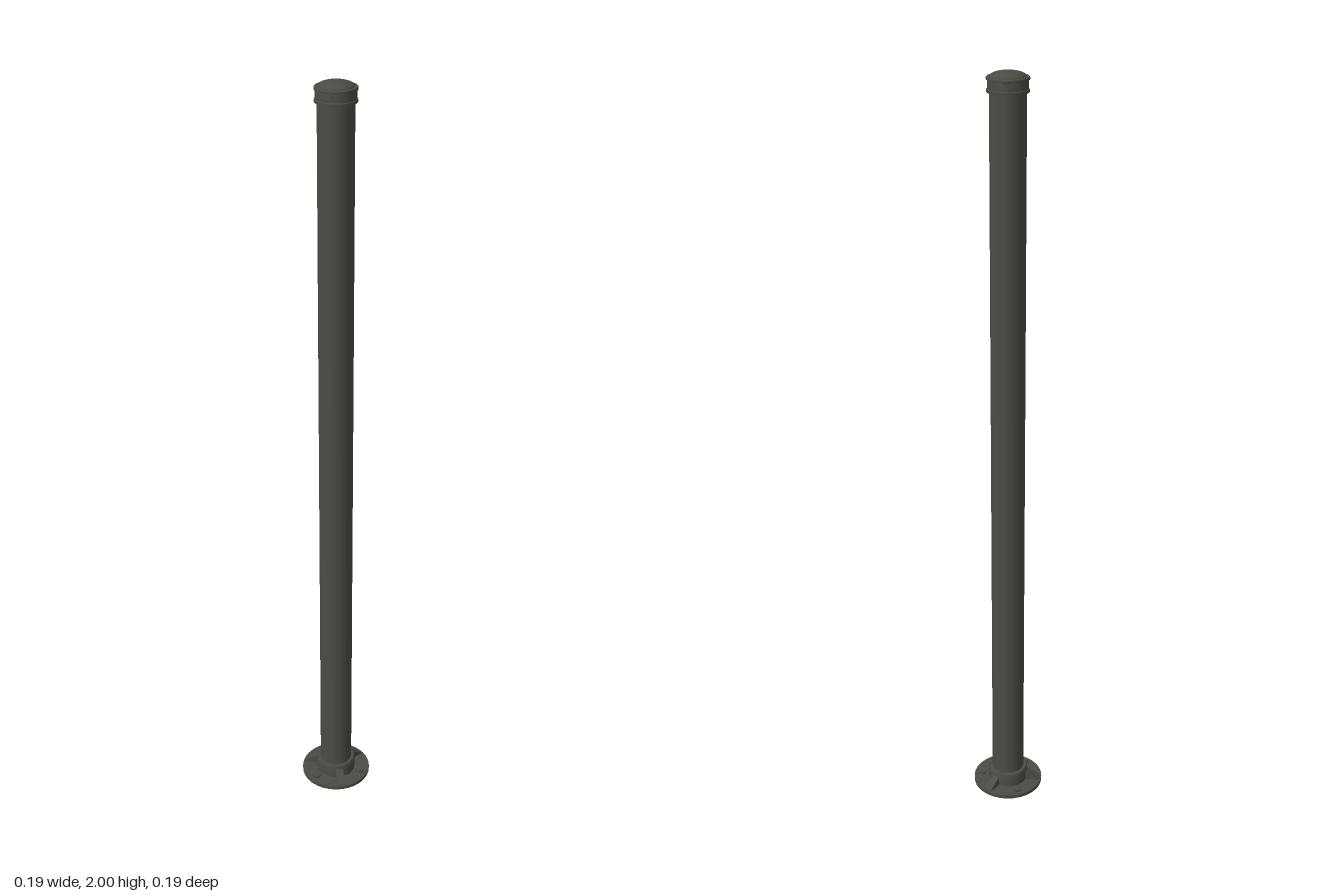
import * as THREE from 'three';
import { toCreasedNormals } from 'three/addons/utils/BufferGeometryUtils.js';

export function createModel() {
  const model = new THREE.Group();
  model.name = 'post';
  const metal = new THREE.MeshStandardMaterial({ color: 0x4c4c46 });
  metal.name = 'dark grey metal';

  function add(name, geometry, parent = model) {
    const mesh = new THREE.Mesh(geometry, metal);
    mesh.name = name;
    parent.add(mesh);
    return mesh;
  }
  // Turned part from [radius, height] points, bottom to top
  function turned(name, points, sides = 32) {
    const lathe = new THREE.LatheGeometry(points.map(p => new THREE.Vector2(...p)), sides);
    return add(name, toCreasedNormals(lathe, 0.6));
  }

  // Round base plate, collar and tube
  turned('basePlate', [[0, 0], [0.096, 0], [0.096, 0.01], [0, 0.01]]);
  turned('collar', [[0.043, 0.01], [0.054, 0.01], [0.054, 0.047], [0.052, 0.05], [0.043, 0.05]]);
  turned('tube', [[0.044, 0.01], [0.044, 1.96]]);

  // Cap with two rims and a shallow dome
  const cap = [[0.044, 1.952], [0.05, 1.952], [0.051, 1.955], [0.05, 1.959], [0.048, 1.96],
    [0.048, 1.98], [0.051, 1.981], [0.051, 1.986], [0.049, 1.988], [0.043, 1.988]];
  for (let i = 1; i <= 8; i++) {
    const a = (i / 8) * Math.PI / 2;
    cap.push([i === 8 ? 0 : 0.043 * Math.cos(a), 1.988 + 0.012 * Math.sin(a)]);
  }
  turned('cap', cap);

  // Sloping gusset, extruded across its thickness
  const profile = new THREE.Shape([[0.045, 0.009], [0.09, 0.009], [0.09, 0.012], [0.053, 0.038], [0.045, 0.038]]
    .map(p => new THREE.Vector2(...p)));
  const gussetGeometry = new THREE.ExtrudeGeometry(profile, { depth: 0.022, bevelEnabled: false });
  gussetGeometry.translate(0, 0, -0.011);
  const boltGeometry = toCreasedNormals(new THREE.CylinderGeometry(0.012, 0.012, 0.007, 6), 0.5);

  // Three gussets alternating with three hex bolts
  for (let i = 0; i < 3; i++) {
    const turn = i * Math.PI * 2 / 3;
    add('gusset', gussetGeometry).rotation.y = turn - Math.PI / 4;
    const boltArm = new THREE.Group();
    boltArm.name = 'boltArm';
    boltArm.rotation.y = turn + Math.PI / 12;
    model.add(boltArm);
    add('bolt', boltGeometry, boltArm).position.set(0.074, 0.0125, 0);
  }
  return model;
}
